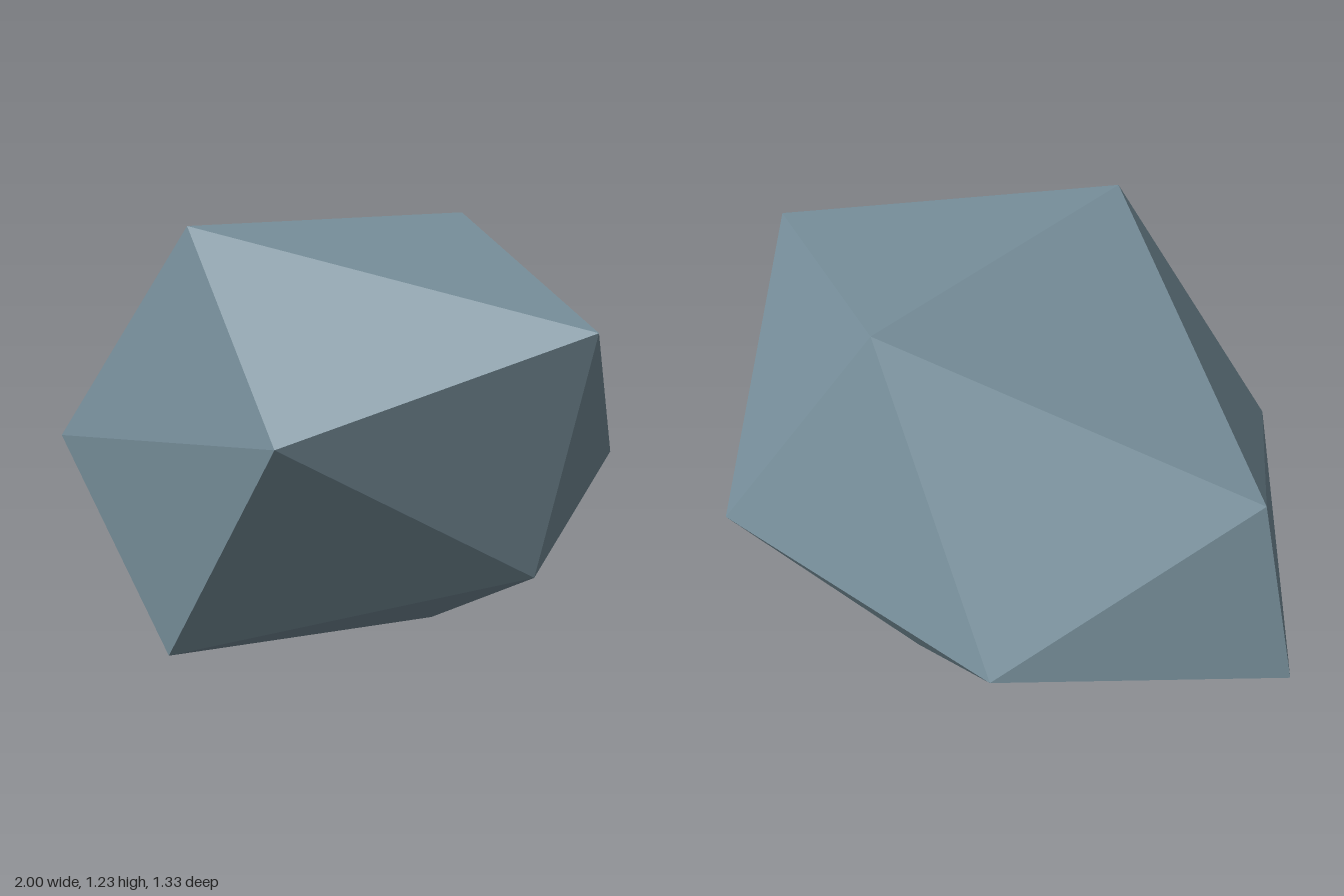
import * as THREE from 'three';

// Corners of the boulder: an irregular twenty-sided stone
const corners = {
  topFront: [0.05, 1.22, 0.575], topBack: [0.03, 1.23, -0.475],
  leftHigh: [1.0, 0.99, 0.105], leftLow: [0.78, 0.345, 0.05],
  rightHigh: [-0.86, 0.86, 0.0], rightLow: [-1.0, 0.34, 0.0],
  frontLeft: [0.495, 0.715, 0.665], frontRight: [-0.475, 0.615, 0.64],
  backLeft: [0.47, 0.53, -0.665], backRight: [-0.51, 0.52, -0.66],
  baseFront: [-0.035, 0.06, 0.6], baseBack: [0.08, 0.0, -0.31],
};

// Facets, counter-clockwise from outside
const facets = [
  // front
  'rightHigh frontRight topFront', 'rightHigh rightLow frontRight',
  'frontRight baseFront frontLeft', 'frontRight frontLeft topFront',
  'topFront frontLeft leftHigh', 'frontLeft baseFront leftLow',
  'frontLeft leftLow leftHigh', 'frontRight rightLow baseFront',
  // top
  'topFront leftHigh topBack', 'topFront topBack rightHigh',
  'topBack leftHigh backLeft', 'topBack backLeft backRight', 'topBack backRight rightHigh',
  // back
  'backLeft baseBack backRight', 'backRight baseBack rightLow',
  'rightHigh backRight rightLow', 'backLeft leftHigh leftLow', 'backLeft leftLow baseBack',
  // underside
  'rightLow baseBack baseFront', 'baseFront baseBack leftLow',
];

export function createModel() {
  const stone = new THREE.MeshStandardMaterial({ color: 0x78909c, flatShading: true });
  stone.name = 'blue grey stone';

  const positions = facets.flatMap((f) => f.split(' ').flatMap((name) => corners[name]));
  const geometry = new THREE.BufferGeometry();
  geometry.setAttribute('position', new THREE.Float32BufferAttribute(positions, 3));
  geometry.computeVertexNormals();

  const boulder = new THREE.Mesh(geometry, stone);
  boulder.name = 'boulder';

  const group = new THREE.Group();
  group.name = 'rock';
  group.add(boulder);
  return group;
}
